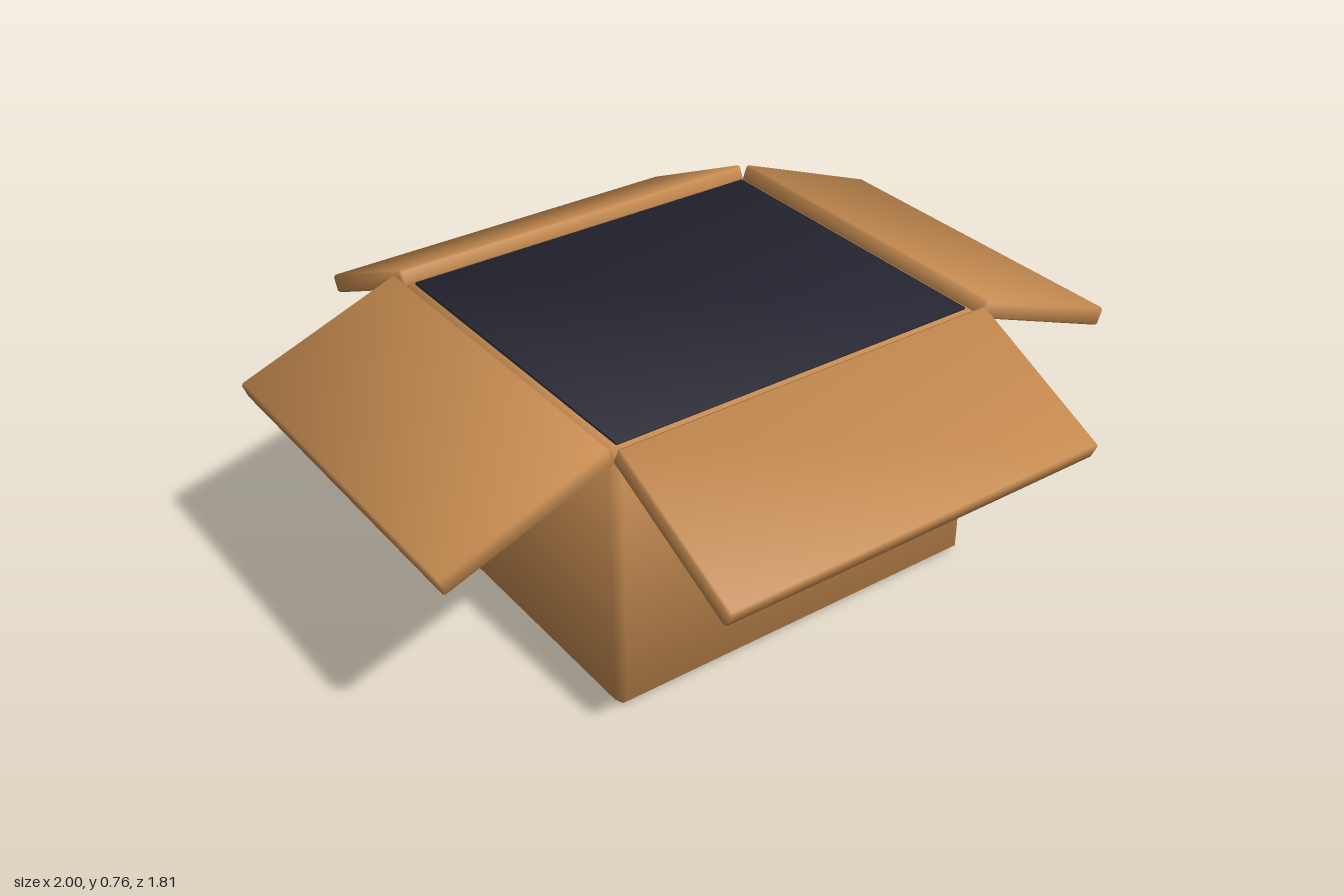
import * as THREE from 'three';
import { ConvexGeometry } from 'three/addons/geometries/ConvexGeometry.js';

// Box with chamfered edges and soft normals that lean towards its corners
function chamferBox(w, h, d, c) {
  const half = [w / 2, h / 2, d / 2];
  const points = [];
  for (const sx of [-1, 1]) for (const sy of [-1, 1]) for (const sz of [-1, 1]) {
    for (let axis = 0; axis < 3; axis++) {
      const p = [sx, sy, sz].map((s, i) => s * (half[i] - (i === axis ? 0 : c)));
      points.push(new THREE.Vector3(...p));
    }
  }
  const geometry = new ConvexGeometry(points);
  const pos = geometry.attributes.position;
  const normal = geometry.attributes.normal;
  for (let i = 0; i < pos.count; i++) {
    const p = [pos.getX(i), pos.getY(i), pos.getZ(i)];
    const n = p.map((v, k) => Math.sign(v) * (half[k] - Math.abs(v) < c / 2 ? 2.33 : 1));
    const len = Math.hypot(...n);
    normal.setXYZ(i, n[0] / len, n[1] / len, n[2] / len);
  }
  return geometry;
}

export function createModel() {
  const model = new THREE.Group();
  model.name = 'openCardboardBox';

  const cardboard = new THREE.MeshStandardMaterial({ color: 0xc68b50 });
  cardboard.name = 'cardboard brown';
  const dark = new THREE.MeshStandardMaterial({ color: 0x262633 });
  dark.name = 'dark interior';

  // Carton body
  const body = new THREE.Mesh(chamferBox(1.1, 0.73, 0.98, 0.022), cardboard);
  body.name = 'body';
  body.position.y = 0.365;
  model.add(body);

  // Dark opening inside the rim
  const opening = new THREE.Mesh(chamferBox(1.04, 0.008, 0.91, 0.002), dark);
  opening.name = 'opening';
  opening.position.y = 0.732;
  model.add(opening);

  // Four flaps folded outward, each hinged along one top edge
  const thickness = 0.05;
  const flaps = [
    { name: 'frontFlap', turn: 0, out: 0.495, y: 0.752, width: 1.09, length: 0.455, tilt: 25 },
    { name: 'leftFlap', turn: 90, out: 0.56, y: 0.757, width: 0.98, length: 0.47, tilt: 20.7 },
    { name: 'backFlap', turn: 180, out: 0.492, y: 0.76, width: 1.085, length: 0.46, tilt: 25 },
    { name: 'rightFlap', turn: 270, out: 0.56, y: 0.757, width: 0.98, length: 0.47, tilt: 20.7 },
  ];
  for (const f of flaps) {
    const side = new THREE.Group();
    side.name = f.name;
    side.rotation.y = THREE.MathUtils.degToRad(f.turn);
    const geometry = chamferBox(f.width, thickness, f.length, 0.006);
    geometry.translate(0, -thickness / 2, f.length / 2);
    const panel = new THREE.Mesh(geometry, cardboard);
    panel.name = f.name + 'Panel';
    panel.position.set(0, f.y, f.out);
    panel.rotation.x = THREE.MathUtils.degToRad(f.tilt);
    side.add(panel);
    model.add(side);
  }
  return model;
}
